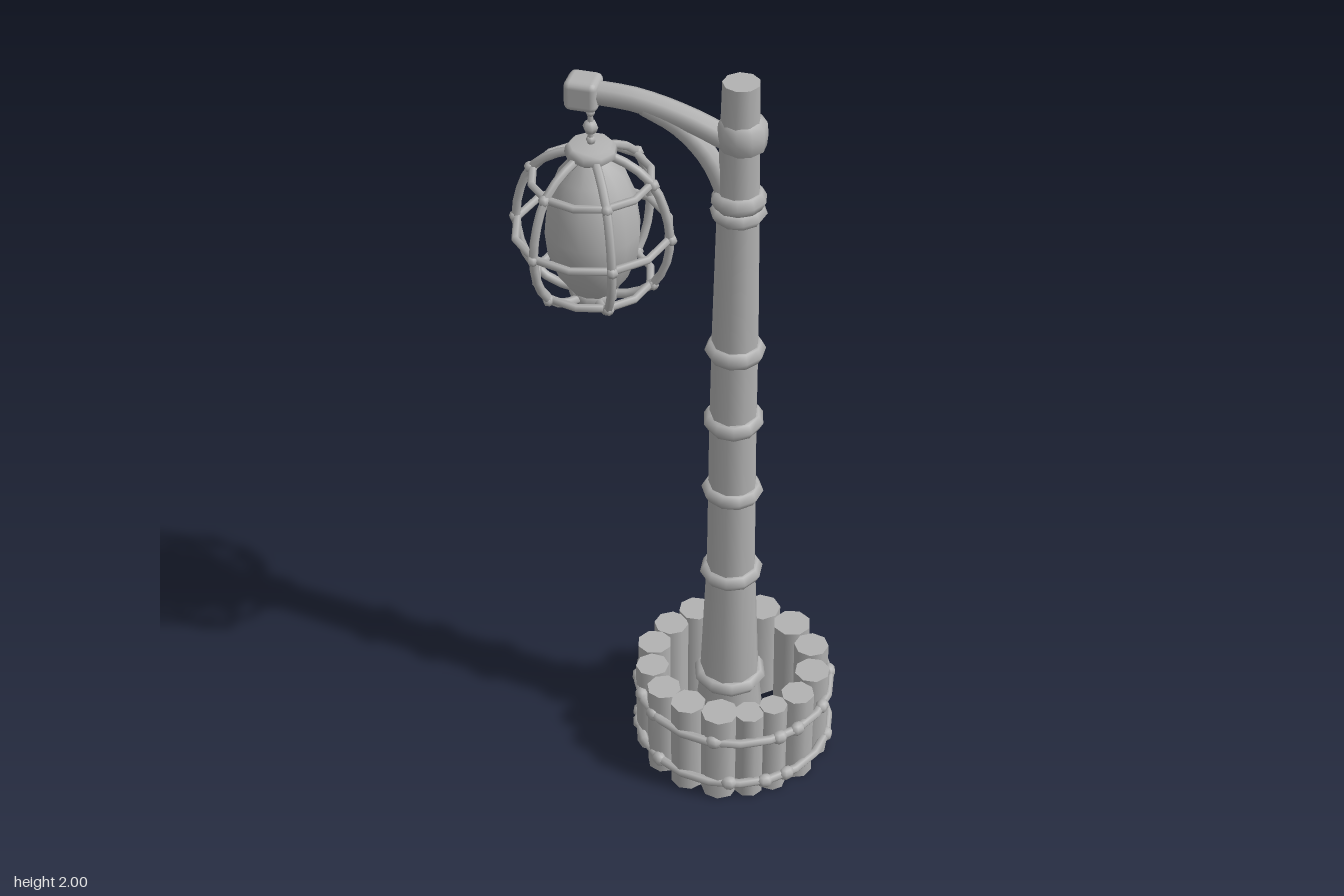
import * as THREE from 'three';
import { RoundedBoxGeometry } from 'three/addons/geometries/RoundedBoxGeometry.js';

const V = (x, y, z = 0) => new THREE.Vector3(x, y, z);

export function createModel() {
  const model = new THREE.Group();
  model.name = 'lampPost';
  const grey = new THREE.MeshStandardMaterial({ color: 0xb2b2b2 });
  grey.name = 'grey';

  const add = (parent, name, geometry, x = 0, y = 0, z = 0) => {
    const mesh = new THREE.Mesh(geometry, grey);
    mesh.name = name;
    mesh.position.set(x, y, z);
    parent.add(mesh);
    return mesh;
  };
  const group = (name, x = 0, y = 0, z = 0) => {
    const g = new THREE.Group();
    g.name = name;
    g.position.set(x, y, z);
    model.add(g);
    return g;
  };
  const tube = (points, r, steps = 10, sides = 8) =>
    new THREE.TubeGeometry(new THREE.CatmullRomCurve3(points), steps, r, sides);
  const hoop = (r, t, steps, sides = 6) => new THREE.TorusGeometry(r, t, sides, steps).rotateX(Math.PI / 2);
  const lathe = (profile, sides) =>
    new THREE.LatheGeometry(profile.map(([r, y]) => new THREE.Vector2(r, y)), sides);

  // Tapered trunk, wide at the foot and leaning very slightly
  const post = group('post');
  const trunk = new THREE.CylinderGeometry(1, 1, 2, 9, 20).translate(0, 1, 0);
  const taper = [[0, 0.098], [0.2, 0.078], [0.6, 0.062], [1.3, 0.057], [1.7, 0.05], [2, 0.044]];
  const radiusAt = (y) => {
    const i = Math.max(1, taper.findIndex(([h]) => h >= y - 1e-6));
    const [y0, r0] = taper[i - 1], [y1, r1] = taper[i];
    return THREE.MathUtils.lerp(r0, r1, (y - y0) / (y1 - y0));
  };
  const centreAt = (y) => 0.138 + 0.004 * Math.max(0, y - 1) * 2;
  const p = trunk.attributes.position;
  for (let i = 0; i < p.count; i++) {
    const y = p.getY(i), r = radiusAt(y);
    p.setXYZ(i, p.getX(i) * r + centreAt(y), y, p.getZ(i) * r);
  }
  add(post, 'trunk', trunk);

  // Bamboo-like rings along the trunk: height, vertical stretch, tilt
  [[0.22, 1, 0], [0.57, 1, 0.03], [0.83, 1, -0.03], [1.05, 1.1, 0.04], [1.26, 1.1, -0.02],
    [1.655, 0.9, 0], [1.69, 1.1, -0.06]].forEach(([y, stretch, tilt], i) => {
    const ring = add(post, 'trunkRing', hoop(radiusAt(y) - 0.005, 0.022, 10), centreAt(y), y);
    ring.scale.y = stretch;
    ring.rotation.set(tilt * 0.5, i * 0.4, tilt);
  });
  add(post, 'topBand', lathe([[0.042, 1.825], [0.056, 1.835], [0.059, 1.865], [0.056, 1.895], [0.04, 1.905]], 10), 0.15);

  // Curved arm, its brace and the block at its tip
  const arm = group('arm');
  add(arm, 'beam', tube([V(-0.22, 1.92), V(-0.1, 1.915), V(0.02, 1.885), V(0.14, 1.835)], 0.029));
  add(arm, 'brace', tube([V(-0.08, 1.905), V(0, 1.865), V(0.065, 1.8), V(0.105, 1.72), V(0.125, 1.63)], 0.026, 12));
  add(arm, 'tipBlock', new RoundedBoxGeometry(0.08, 0.076, 0.076, 2, 0.016), -0.225, 1.918);

  // Hanging hook
  const lantern = group('lantern', -0.21);
  add(lantern, 'hookRod', new THREE.CylinderGeometry(0.007, 0.007, 0.12, 6), 0, 1.83);
  [[1.825, 0.019], [1.865, 0.012], [1.79, 0.012]].forEach(([y, r]) => {
    add(lantern, 'hookBead', new THREE.SphereGeometry(r, 6, 4), 0, y);
  });

  // Egg-shaped lamp and its caps
  add(lantern, 'lamp', lathe([[0.05, 1.37], [0.085, 1.42], [0.11, 1.49], [0.116, 1.55],
    [0.106, 1.63], [0.08, 1.7], [0.04, 1.75]], 12));
  add(lantern, 'topCap', lathe([[0, 1.745], [0.052, 1.745], [0.063, 1.754], [0.06, 1.77], [0.05, 1.78], [0, 1.782]], 9));
  add(lantern, 'bottomCap', lathe([[0, 1.35], [0.05, 1.35], [0.06, 1.357], [0.06, 1.378], [0.05, 1.387], [0, 1.387]], 9));

  // Cage of three hoops and six ribs
  [[1.69, 0.143], [1.545, 0.186], [1.41, 0.14]].forEach(([y, r]) => {
    add(lantern, 'cageHoop', hoop(r, 0.01, 12), 0, y);
  });
  for (let i = 0; i < 6; i++) {
    const rib = add(lantern, 'cageRib', tube([V(0.045, 1.755), V(0.1, 1.732), V(0.148, 1.69), V(0.178, 1.62),
      V(0.189, 1.545), V(0.178, 1.47), V(0.145, 1.41), V(0.1, 1.378), V(0.045, 1.365)], 0.011, 14, 6));
    rib.rotation.y = i * Math.PI / 3;
    [[1.69, 0.15], [1.545, 0.192], [1.41, 0.147]].forEach(([y, r]) => {
      add(rib, 'cageJoint', new THREE.SphereGeometry(0.015, 6, 4), r, y);
    });
  }

  // Ring of stakes around the foot: angle in degrees, radius
  const fence = group('fence', 0.15);
  [[-111, 0.046], [-84, 0.05], [-57, 0.05], [-28, 0.045], [-1, 0.046], [24, 0.043], [47, 0.036], [65, 0.039],
    [86, 0.048], [110, 0.045], [134, 0.044], [157, 0.043], [180, 0.045], [205, 0.045], [227, 0.045]]
    .forEach(([deg, r], i) => {
      const a = THREE.MathUtils.degToRad(deg);
      const d = 0.207 + 0.008 * Math.max(0, -Math.cos(a));
      const height = 0.266 + 0.004 * Math.sin(i * 2.3);
      const stake = add(fence, 'stake', new THREE.CylinderGeometry(r, r * 0.97, height, 8, 1),
        Math.cos(a) * d, height / 2, Math.sin(a) * d);
      stake.rotation.y = i * 1.1;
    });

  // Two ropes tied around the stakes, with knots
  [0.055, 0.195].forEach((y, row) => {
    add(fence, 'rope', hoop(0.25, 0.012, 20), 0, y);
    for (let i = 0; i < 12; i++) {
      const a = Math.PI / 6 * i + 0.22 * Math.sin(i * 1.7 + row);
      const knot = add(fence, 'knot', new THREE.SphereGeometry(0.019, 7, 5),
        Math.cos(a) * 0.25, y + 0.004 * Math.sin(i * 3), Math.sin(a) * 0.25);
      knot.scale.set(0.9, 1, 1.2);
      knot.rotation.y = -a;
    }
  });

  return model;
}
